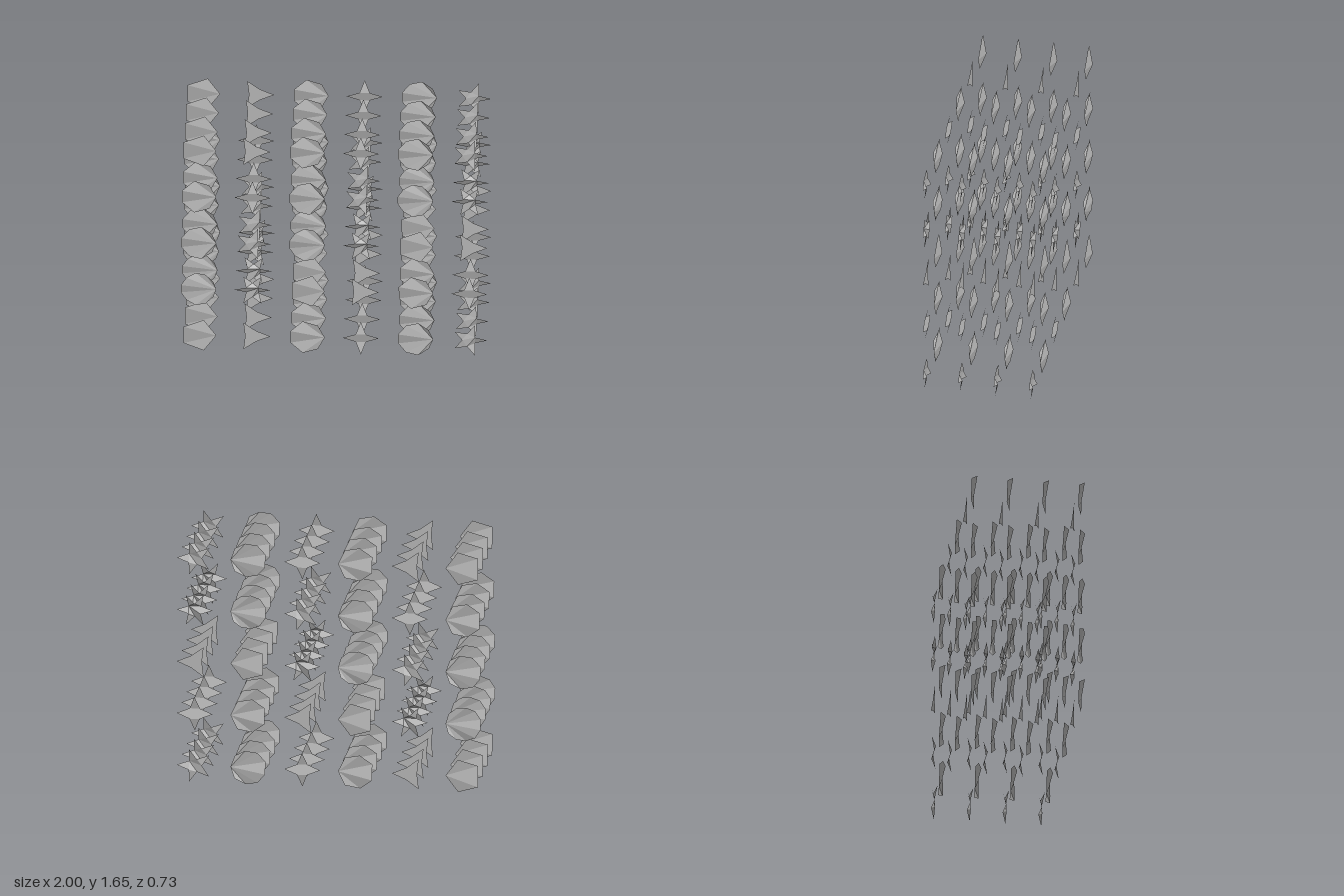
import * as THREE from 'three';

const R = 0.1179;          // outer radius of every plate
const STEP = 3 * R;        // spacing across and up
const DEPTH_STEP = 2 * R;  // spacing between layers
const INNER = 0.4;         // star notch radius, relative to R
const WAVE = 0.1 * R;      // height of the ripple around the rim

// Rim point: the rim ripples three times per turn
const rimPoint = (angle, radius) => [
  Math.cos(angle) * radius, Math.sin(angle) * radius, Math.sin(3 * angle) * WAVE,
];

function facets(triangles) {
  const geometry = new THREE.BufferGeometry();
  geometry.setAttribute('position', new THREE.Float32BufferAttribute(triangles.flat(2), 3));
  geometry.computeVertexNormals();
  return geometry;
}

// Triangles spreading from the first point
function fan(points) {
  const out = [];
  for (let i = 1; i < points.length - 1; i++) out.push([points[0], points[i], points[i + 1]]);
  return out;
}

function polygonPlate(sides) {
  const rim = [];
  for (let i = 0; i < sides; i++) rim.push(rimPoint(i / sides * Math.PI * 2, R));
  return facets(fan(rim));
}

function starPlate(points) {
  const notches = [], arms = [];
  const notch = (i) => rimPoint((i + 0.5) / points * Math.PI * 2, R * INNER);
  for (let i = 0; i < points; i++) {
    notches.push(notch(i));
    arms.push([notch((i + points - 1) % points), rimPoint(i / points * Math.PI * 2, R), notch(i)]);
  }
  return facets([...arms, ...fan(notches)]);
}

export function createModel() {
  const model = new THREE.Group();
  model.name = 'plateArray';
  const grey = new THREE.MeshStandardMaterial({ color: 0xb8b8b8, side: THREE.DoubleSide });
  grey.name = 'grey';

  const polygons = [5, 7, 9, 11].map(polygonPlate);
  const stars = [3, 4, 5, 6].map(starPlate);
  const left = -1 + R * Math.cos(Math.PI / 11);

  // Columns alternate polygons and stars; the count of corners grows downward
  for (let col = 0; col < 6; col++) {
    for (let row = 0; row < 5; row++) {
      const kind = (row + Math.floor(col / 2)) % 4;
      const isStar = col % 2 === 1;
      for (let layer = 0; layer < 4; layer++) {
        const plate = new THREE.Mesh((isStar ? stars : polygons)[kind], grey);
        plate.name = isStar ? 'starPlate' : 'polygonPlate';
        plate.position.set(left + col * STEP, R + (4 - row) * STEP, (layer - 1.5) * DEPTH_STEP);
        model.add(plate);
      }
    }
  }
  return model;
}
